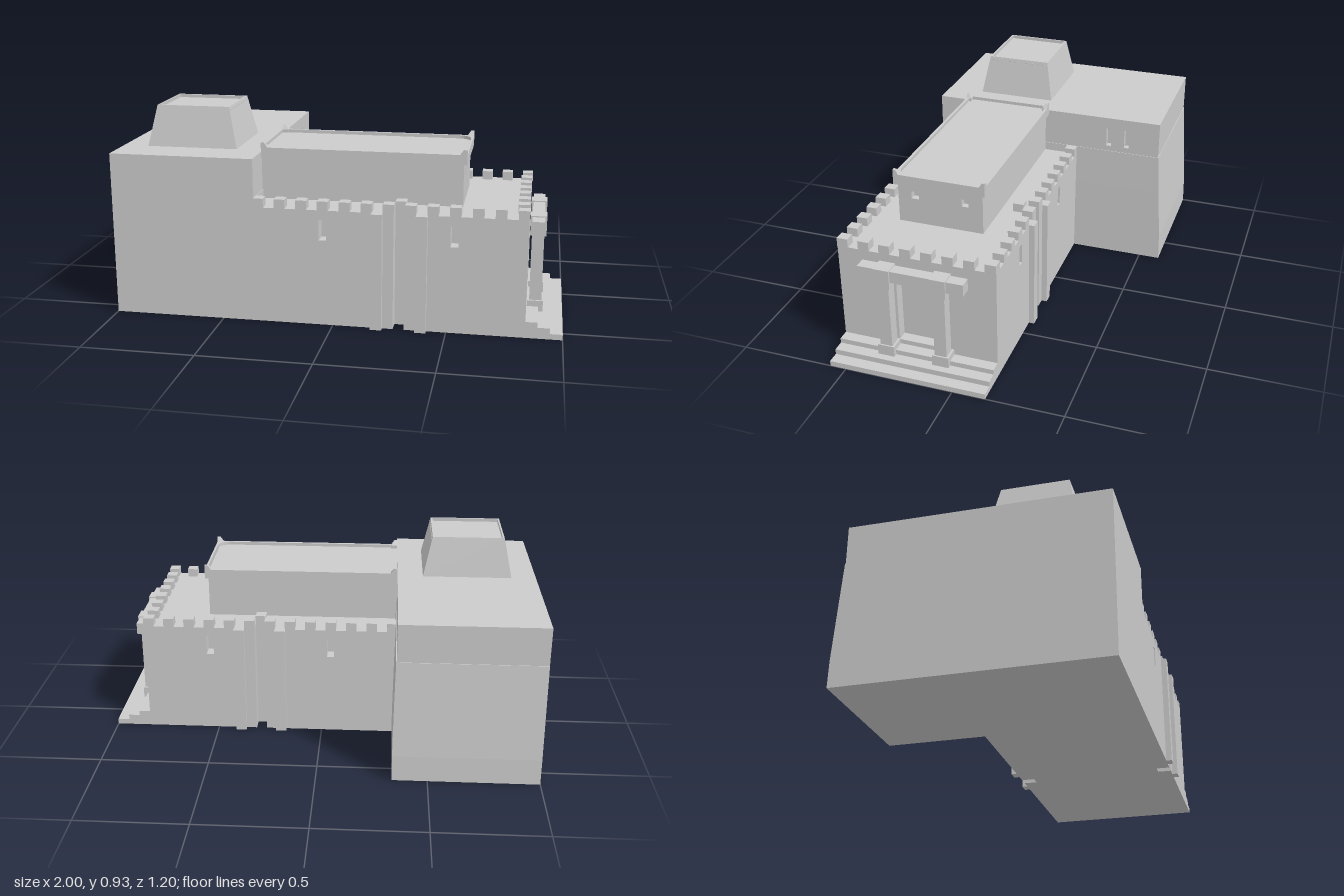
import * as THREE from 'three';

const mat = new THREE.MeshStandardMaterial({ color: 0xcccccc, flatShading: true });

function add(group, name, geometry) {
  const mesh = new THREE.Mesh(geometry, mat);
  mesh.name = name;
  group.add(mesh);
  return mesh;
}

// Box given by its limits on each axis
function block(group, name, x0, x1, y0, y1, z0, z1) {
  const g = new THREE.BoxGeometry(x1 - x0, y1 - y0, z1 - z0);
  g.translate((x0 + x1) / 2, (y0 + y1) / 2, (z0 + z1) / 2);
  return add(group, name, g);
}

function rectPath(PathType, u0, u1, v0, v1) {
  const p = new PathType();
  p.moveTo(u0, v0);
  p.lineTo(u1, v0);
  p.lineTo(u1, v1);
  p.lineTo(u0, v1);
  p.closePath();
  return p;
}

// Slab with rectangular openings, extruded along +z
function slab(u0, u1, v0, v1, depth, holes) {
  const s = rectPath(THREE.Shape, u0, u1, v0, v1);
  for (const h of holes) s.holes.push(rectPath(THREE.Path, ...h));
  return new THREE.ExtrudeGeometry(s, { depth, bevelEnabled: false });
}

// Slab facing +x; its spans and holes are given in z
function eastSlab(group, name, x0, x1, z0, z1, y0, y1, holes) {
  const flipped = holes.map(([a, b, c, d]) => [-b, -a, c, d]);
  const g = slab(-z1, -z0, y0, y1, x1 - x0, flipped);
  g.rotateY(Math.PI / 2).translate(x0, 0, 0);
  return add(group, name, g);
}

// Skin over rectangular rings [x0, x1, z0, z1, y], closed at both ends
function loft(rings) {
  const pos = [], idx = [];
  for (const [x0, x1, z0, z1, y] of rings) {
    pos.push(x0, y, z1, x1, y, z1, x1, y, z0, x0, y, z0);
  }
  for (let r = 0; r < rings.length - 1; r++) {
    for (let i = 0; i < 4; i++) {
      const a = r * 4 + i, b = r * 4 + (i + 1) % 4;
      idx.push(a, b, b + 4, a, b + 4, a + 4);
    }
  }
  const t = (rings.length - 1) * 4;
  idx.push(0, 2, 1, 0, 3, 2, t, t + 1, t + 2, t, t + 2, t + 3);
  const g = new THREE.BufferGeometry();
  g.setAttribute('position', new THREE.Float32BufferAttribute(pos, 3));
  g.setIndex(idx);
  const flat = g.toNonIndexed();
  flat.computeVertexNormals();
  return flat;
}

function part(root, name) {
  const g = new THREE.Group();
  g.name = name;
  root.add(g);
  return g;
}

export function createModel() {
  const root = new THREE.Group();
  root.name = 'fortifiedHall';

  // Rear block: battered lower walls, straight upper walls with two slits
  const rear = part(root, 'rearBlock');
  add(rear, 'rearLowerWalls', loft([
    [-1, -0.34, -0.6, 0.575, 0],
    [-1, -0.34, -0.597, 0.575, 0.12],
    [-1, -0.343, -0.58, 0.575, 0.375],
    [-1, -0.347, -0.567, 0.575, 0.565],
  ]));
  block(rear, 'rearUpperCore', -1, -0.38, 0.565, 0.74, -0.564, 0.575);
  eastSlab(rear, 'rearSlitWall', -0.38, -0.35, -0.564, 0.575, 0.565, 0.74,
    [[-0.325, -0.3, 0.592, 0.685], [-0.415, -0.39, 0.592, 0.685]]);

  // Roof tower with sloping sides and a sunken top
  const tower = part(root, 'roofTower');
  add(tower, 'towerBody', loft([
    [-0.885, -0.47, 0.025, 0.397, 0.74],
    [-0.845, -0.51, 0.06, 0.363, 0.925],
    [-0.837, -0.518, 0.068, 0.355, 0.925],
    [-0.837, -0.518, 0.068, 0.355, 0.91],
  ]));
  for (let i = 0; i < 10; i++) {
    const z = 0.072 + i * 0.03;
    block(tower, 'drainSlot', -0.515, -0.505, 0.908, 0.912, z, z + 0.015);
  }

  // Front hall: core, long walls with a central groove, entrance wall
  const hall = part(root, 'hall');
  const roofY = 0.525, topY = 0.565;
  block(hall, 'hallCore', -0.36, 0.79, 0, roofY, -0.09, 0.515);
  eastSlab(hall, 'entranceWall', 0.79, 0.84, -0.09, 0.515, 0, roofY, [[0.122, 0.308, 0.095, 0.388]]);

  for (const s of [1, -1]) {
    const side = part(hall, s > 0 ? 'frontSide' : 'backSide');
    const zMid = 0.2125;
    // Limits measured outward from the hall's long axis
    const sideBlock = (name, x0, x1, y0, y1, d0, d1) =>
      block(side, name, x0, x1, y0, y1, Math.min(zMid + s * d0, zMid + s * d1), Math.max(zMid + s * d0, zMid + s * d1));
    const z0 = s > 0 ? 0.515 : -0.15;
    add(side, 'longWall', slab(-0.36, 0.267, 0, roofY, 0.06, [[-0.06, -0.027, 0.39, 0.483]]).translate(0, 0, z0));
    add(side, 'longWall', slab(0.315, 0.84, 0, roofY, 0.06, [[0.512, 0.546, 0.39, 0.483]]).translate(0, 0, z0));
    for (const x of [0.17, 0.364]) sideBlock('buttress', x, x + 0.05, 0, roofY, 0.35, 0.388);
    for (let k = 0; k < 13; k++) {
      const x = -0.355 + k * 0.0958;
      sideBlock('merlon', x, x + 0.048, roofY, topY, 0.3125, 0.3625);
    }
    sideBlock('grooveMerlon', 0.267, 0.315, roofY, topY, 0.2525, 0.3025);
  }
  for (let k = 1; k < 7; k++) {
    const z = -0.15 + k * 0.0964;
    block(hall, 'merlon', 0.79, 0.84, roofY, topY, z, z + 0.05);
  }

  // Raised hall with two small end windows
  const upper = part(root, 'raisedHall');
  block(upper, 'raisedCore', -0.36, 0.52, roofY, 0.715, 0.015, 0.413);
  eastSlab(upper, 'raisedEndWall', 0.52, 0.55, 0.015, 0.413, roofY, 0.715,
    [[0.315, 0.35, 0.645, 0.68], [0.082, 0.113, 0.645, 0.68]]);
  block(upper, 'raisedRoof', -0.35, 0.55, 0.715, 0.745, 0.005, 0.423);

  // Cornice rim, rounded inside at the entrance end
  const rim = rectPath(THREE.Shape, -0.35, 0.565, -0.428, 0);
  const inner = new THREE.Path();
  inner.moveTo(-0.349, -0.415);
  inner.lineTo(0.495, -0.415);
  inner.absarc(0.495, -0.355, 0.06, -Math.PI / 2, 0, false);
  inner.lineTo(0.555, -0.073);
  inner.absarc(0.495, -0.073, 0.06, 0, Math.PI / 2, false);
  inner.lineTo(-0.349, -0.013);
  inner.closePath();
  rim.holes.push(inner);
  add(upper, 'corniceRim', new THREE.ExtrudeGeometry(rim, { depth: 0.045, bevelEnabled: false, curveSegments: 6 })
    .rotateX(-Math.PI / 2).translate(0, 0.715, 0));

  // Horns tapering towards the outer corners
  for (const [x, dx] of [[-0.35, 0.03], [0.565, -0.03]]) {
    for (const [z, dz] of [[0, 0.025], [0.428, -0.025]]) {
      const span = (f) => [
        Math.min(x, x + dx * f), Math.max(x, x + dx * f),
        Math.min(z, z + dz * f), Math.max(z, z + dz * f)];
      add(upper, 'cornerHorn', loft([
        [...span(1), 0.745], [...span(1), 0.76], [...span(0.5), 0.782]]));
    }
  }

  // Entrance: steps, two pillars and a lintel
  const porch = part(root, 'porch');
  for (const [x, y] of [[1, 0.025], [0.945, 0.05], [0.892, 0.073]]) {
    block(porch, 'step', 0.83, x, 0, y, -0.15, 0.575);
  }
  for (const z of [0.3425, 0.0875]) {
    block(porch, 'pillarBase', 0.842, 0.912, 0.05, 0.1, z - 0.038, z + 0.038);
    block(porch, 'pillar', 0.851, 0.905, 0.1, 0.4, z - 0.028, z + 0.028);
    block(porch, 'capital', 0.843, 0.914, 0.4, 0.49, z - 0.037, z + 0.037);
  }
  block(porch, 'lintel', 0.851, 0.905, 0.43, 0.485, -0.027, 0.455);

  return root;
}
